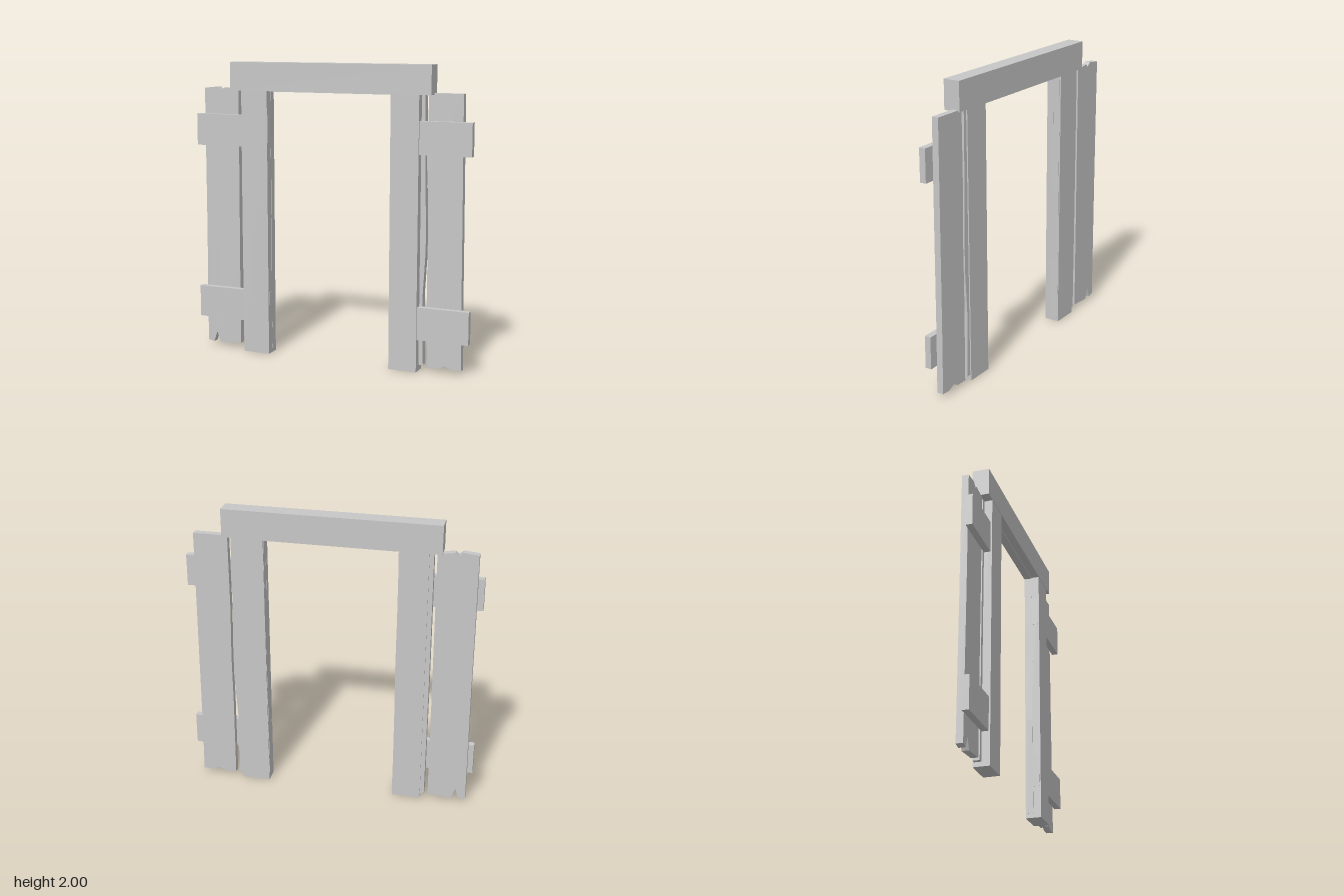
import * as THREE from 'three';

export function createModel() {
  const group = new THREE.Group();
  group.name = 'doorway';
  const wood = new THREE.MeshStandardMaterial({ color: 0xc7c7c7 });
  wood.name = 'light grey';

  function add(name, geometry) {
    const mesh = new THREE.Mesh(geometry, wood);
    mesh.name = name;
    group.add(mesh);
  }

  // Box given by its limits on each axis
  function beam(name, x0, x1, y0, y1, z0, z1) {
    const g = new THREE.BoxGeometry(x1 - x0, y1 - y0, z1 - z0);
    g.translate((x0 + x1) / 2, (y0 + y1) / 2, (z0 + z1) / 2);
    add(name, g);
  }

  // Board with a worn outline, lying behind the middle plane
  function plank(name, outline) {
    const shape = new THREE.Shape(outline.map(([x, y]) => new THREE.Vector2(x, y)));
    const g = new THREE.ExtrudeGeometry(shape, { depth: 0.045, bevelEnabled: false });
    g.translate(0, 0, -0.045);
    add(name, g);
  }

  // Frame: lintel on two posts
  beam('lintel', -0.713, 0.713, 1.81, 2, -0.056, 0.056);
  beam('lintelBackingBoard', -0.44, 0.44, 1.804, 1.9, -0.045, 0);
  for (const [side, s] of [['left', 1], ['right', -1]]) {
    const span = (a, b) => (s > 0 ? [a, b] : [-b, -a]);
    beam(side + 'Post', ...span(0.44, 0.632), 0, 1.812, -0.053, 0.053);
    // Cross battens let into the post
    beam(side + 'LowerBatten', ...span(0.438, 0.98), 0.217, 0.435, 0, 0.043);
    beam(side + 'UpperBatten', ...span(0.438, 0.98), 1.43, 1.645, 0, 0.043);
  }

  // Outer planks with chipped ends
  plank('rightOuterPlank', [
    [-0.945, 0.035], [-0.9, 0.025], [-0.875, 0.1], [-0.845, 0.025], [-0.686, 0.037],
    [-0.685, 0.6], [-0.682, 1.2], [-0.68, 1.81], [-0.79, 1.825], [-0.81, 1.805],
    [-0.84, 1.83], [-0.94, 1.82], [-0.94, 0.9],
  ]);
  plank('leftOuterPlank', [
    [0.688, 0.025], [0.765, 0.025], [0.81, 0.05], [0.86, 0.027], [0.924, 0.03],
    [0.917, 0.5], [0.912, 1.2], [0.907, 1.82], [0.678, 1.82], [0.677, 1.3],
    [0.685, 0.95], [0.683, 0.6],
  ]);

  // Inner planks, mostly hidden inside the posts
  plank('rightInnerPlank', [
    [-0.66, 0.03], [-0.437, 0.03], [-0.44, 0.5], [-0.436, 1], [-0.44, 1.5],
    [-0.437, 1.815], [-0.66, 1.815], [-0.662, 0.9],
  ]);
  plank('leftInnerPlank', [
    [0.437, 0.03], [0.662, 0.04], [0.654, 0.5], [0.671, 0.8], [0.67, 1.0],
    [0.661, 1.3], [0.656, 1.815], [0.437, 1.815], [0.441, 1.3], [0.437, 0.7],
  ]);

  return group;
}
